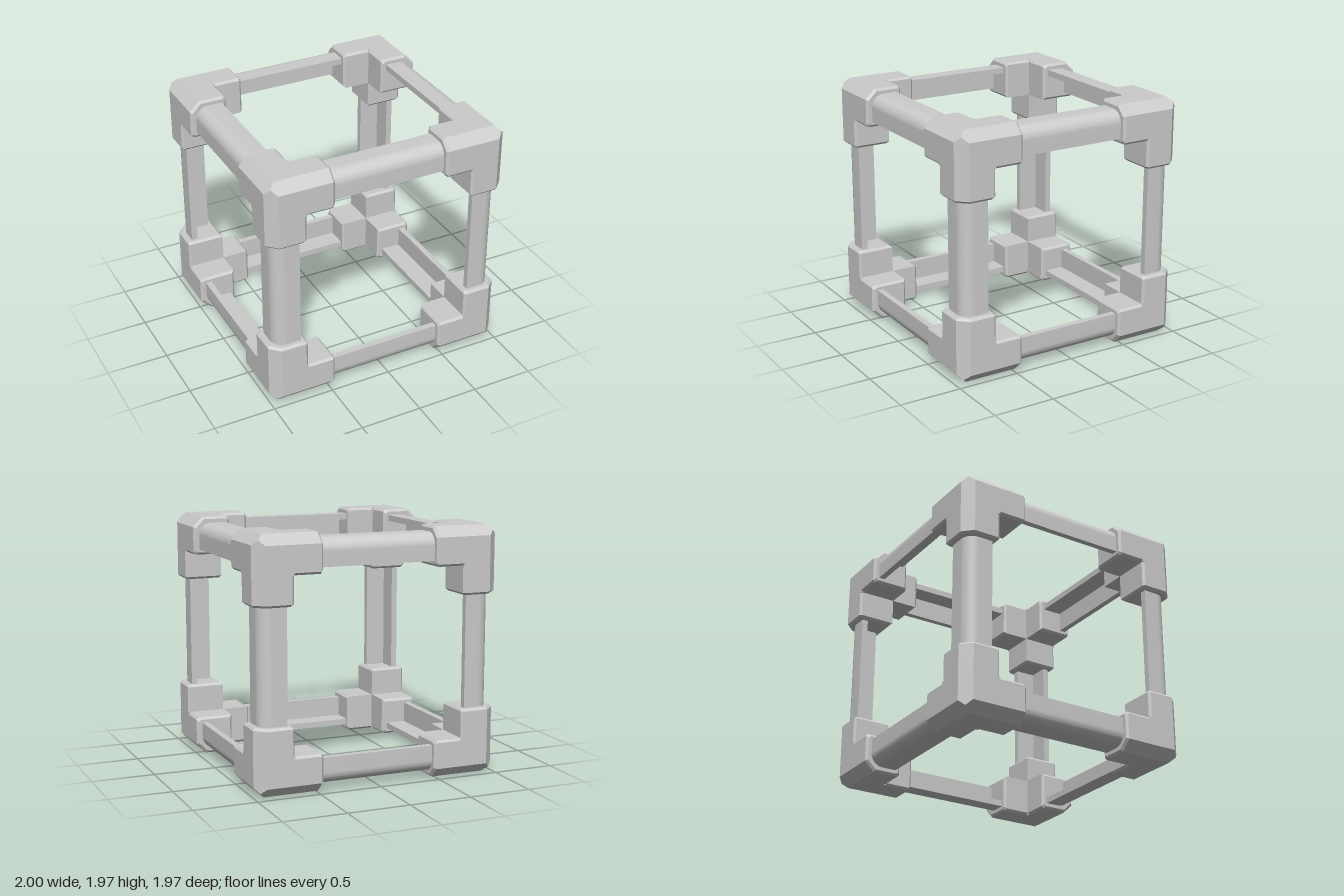
import * as THREE from 'three';
import { mergeGeometries, toCreasedNormals } from 'three/addons/utils/BufferGeometryUtils.js';
import { ConvexGeometry } from 'three/addons/geometries/ConvexGeometry.js';

const HALF = [1, 0.983, 0.985]; // half sizes of the whole frame
const ARM = { length: 0.535, width: 0.305, outer: 0.08, edge: 0.018 };
const BAR = { inset: 0.046, leg: 0.216, wall: 0.05, radius: 0.1 };

// One bracket arm as [across, across, along] points, measured inward from the outer corner
function armPoints() {
  const { length: L, width: w, outer: a, edge: b } = ARM;
  const ring = [[a, 0], [w - b, 0], [w, b], [w, w], [b, w], [0, w - b], [0, a]];
  const inset = (1 - (2 * b) / w);
  const points = [[a / 2, a / 2, a / 2], [a, a, 0], [w, a, 0], [w, w, 0], [a, w, 0]];
  for (const [u, v] of ring) {
    points.push([u, v, a], [u, v, L - b]);
    points.push([w / 2 + (u - w / 2) * inset, w / 2 + (v - w / 2) * inset, L]);
  }
  return points;
}

// Three-armed bracket for the corner with the given signs
function bracketGeometry(signs) {
  const arms = [0, 1, 2].map((axis) => new ConvexGeometry(armPoints().map(([u, v, t]) => {
    const p = [0, 0, 0];
    p[axis] = t;
    p[(axis + 1) % 3] = u;
    p[(axis + 2) % 3] = v;
    return new THREE.Vector3(...p.map((d, i) => signs[i] * (HALF[i] - d)));
  })));
  return mergeGeometries(arms);
}

// Angle-section bar along z with a rounded outer corner at the origin
function barGeometry(length) {
  const { leg, wall, radius: r } = BAR;
  const s = new THREE.Shape();
  s.moveTo(r, 0);
  s.lineTo(leg, 0);
  s.lineTo(leg, wall);
  s.lineTo(wall, wall);
  s.lineTo(wall, leg);
  s.lineTo(0, leg);
  s.lineTo(0, r);
  s.absarc(r, r, r, Math.PI, Math.PI * 1.5, false);
  const g = new THREE.ExtrudeGeometry(s, { depth: length, bevelEnabled: false, curveSegments: 10 });
  g.translate(0, 0, -length / 2);
  return toCreasedNormals(g, 0.5);
}

export function createModel() {
  const model = new THREE.Group();
  model.name = 'cubeFrame';
  const material = new THREE.MeshStandardMaterial({ color: 0xcccccc });

  // Eight corner brackets
  const brackets = new THREE.Group();
  brackets.name = 'cornerBrackets';
  for (const x of [-1, 1]) for (const y of [-1, 1]) for (const z of [-1, 1]) {
    const mesh = new THREE.Mesh(bracketGeometry([x, y, z]), material);
    mesh.name = 'cornerBracket';
    brackets.add(mesh);
  }

  // Four bars along each axis, turned so the rounded corner faces outward
  const bars = new THREE.Group();
  bars.name = 'bars';
  const turns = [[0, Math.PI / 2, 0], [Math.PI / 2, 0, 0], [0, 0, 0]];
  const names = ['crossBar', 'uprightBar', 'depthBar'];
  turns.forEach((turn, axis) => {
    const geometry = barGeometry(2 * (HALF[axis] - ARM.length + 0.05));
    const base = new THREE.Quaternion().setFromEuler(new THREE.Euler(...turn));
    for (let k = 0; k < 4; k++) {
      const mesh = new THREE.Mesh(geometry, material);
      mesh.name = names[axis];
      const spin = new THREE.Quaternion().setFromAxisAngle(new THREE.Vector3(0, 0, 1), k * Math.PI / 2);
      mesh.quaternion.copy(base).multiply(spin);
      const dir = new THREE.Vector3(-1, -1, 0).applyQuaternion(mesh.quaternion).round();
      mesh.position.set(...dir.toArray().map((d, i) => d * (HALF[i] - BAR.inset)));
      bars.add(mesh);
    }
  });

  brackets.position.y = bars.position.y = HALF[1];
  model.add(brackets, bars);
  return model;
}
